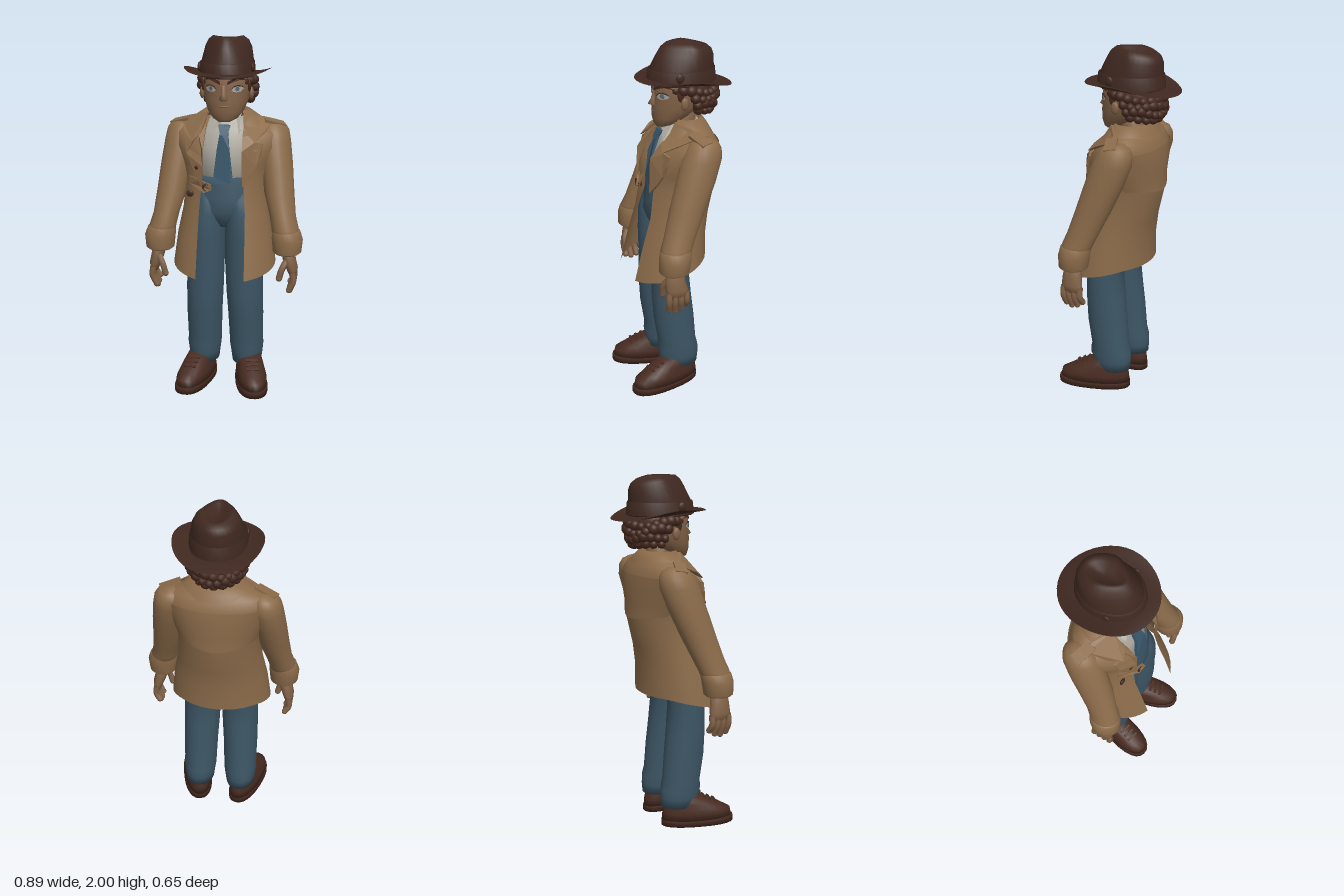
import * as THREE from 'three';

const M = {};
for (const [name, color] of Object.entries({
  coat: 0x8b6b4a, skin: 0x806146, hat: 0x3f2820, shoe: 0x472b21, hair: 0x45291f,
  jeans: 0x3c5564, shirt: 0xaeaaa0, tie: 0x39576c, eyeWhite: 0xa3a1a0, iris: 0x5b666e,
})) {
  M[name] = new THREE.MeshStandardMaterial({ color, side: THREE.DoubleSide });
  M[name].name = name;
}

function add(parent, name, geo, mat) {
  const m = new THREE.Mesh(geo, mat);
  m.name = name;
  parent.add(m);
  return m;
}

// Move every vertex by a rule that edits the vector in place
function bend(geo, rule) {
  const p = geo.attributes.position, v = new THREE.Vector3();
  for (let i = 0; i < p.count; i++) {
    rule(v.fromBufferAttribute(p, i));
    p.setXYZ(i, v.x, v.y, v.z);
  }
  geo.computeVertexNormals();
  return geo;
}

// Skin over horizontal rings [x, y, z, rx, rz, gap], bottom to top; gap opens the front
function loft(rings, { n = 24, pow = 1, arc = null, cap = true, rule = null } = {}) {
  const pos = [], idx = [], open = arc || rings[0][5] !== undefined;
  const row = open ? n + 1 : n, sp = (t) => Math.sign(t) * Math.abs(t) ** pow;
  for (const [x, y, z, rx, rz, gap = 0] of rings) {
    const a0 = arc ? arc[0] : Math.asin(gap / rx), a1 = arc ? arc[1] : Math.PI * 2 - a0;
    for (let j = 0; j < row; j++) {
      const a = a0 + (a1 - a0) * j / n;
      pos.push(x + rx * sp(Math.sin(a)), y, z + rz * sp(Math.cos(a)));
    }
  }
  for (let i = 0; i < rings.length - 1; i++) for (let j = 0; j < n; j++) {
    const k = (j + 1) % row, a = i * row + j, b = i * row + k;
    idx.push(a, b, a + row, b, b + row, a + row);
  }
  if (cap && !open) for (const i of [0, rings.length - 1]) {
    const c = pos.length / 3;
    pos.push(...rings[i].slice(0, 3));
    for (let j = 0; j < n; j++) {
      const a = i * row + j, b = i * row + (j + 1) % row;
      if (i) idx.push(a, b, c); else idx.push(b, a, c);
    }
  }
  const g = new THREE.BufferGeometry();
  g.setAttribute('position', new THREE.Float32BufferAttribute(pos, 3));
  g.setIndex(idx);
  return bend(g, rule || (() => {}));
}

// Front depth of a ring stack at x, y
function frontZ(rings, x, y) {
  let i = 0;
  while (i < rings.length - 2 && rings[i + 1][1] < y) i++;
  const t = THREE.MathUtils.clamp((y - rings[i][1]) / (rings[i + 1][1] - rings[i][1]), 0, 1);
  const [, , z, rx, rz] = rings[i].map((v, k) => v + (rings[i + 1][k] - v) * t);
  return z + rz * Math.sqrt(Math.max(0, 1 - (x / rx) ** 2));
}

// Thin panel laid over the front of a ring stack
function panel(points, rings, lift, s = 1, depth = 0.008) {
  const shape = new THREE.Shape(points.map(([x, y]) => new THREE.Vector2(x * s, y)));
  const g = new THREE.ExtrudeGeometry(shape, { depth, bevelEnabled: false });
  return bend(g, (v) => { v.z += frontZ(rings, v.x, v.y) + lift; });
}

const ball = (r, sx, sy, sz, x, y, z) =>
  new THREE.SphereGeometry(r, 14, 10).scale(sx, sy, sz).translate(x, y, z);

const COAT = [
  [0, 0.74, 0.069, 0.29, 0.239, 0.135], [0, 0.9, 0.045, 0.27, 0.215, 0.132],
  [0, 1.05, 0.012, 0.242, 0.202, 0.128], [0, 1.22, -0.023, 0.23, 0.209, 0.115],
  [0, 1.31, -0.025, 0.255, 0.203, 0.112], [0, 1.4, -0.032, 0.29, 0.202, 0.112],
  [0, 1.47, -0.058, 0.305, 0.166, 0.108], [0, 1.52, -0.075, 0.265, 0.12, 0.1],
  [0, 1.56, -0.075, 0.15, 0.09, 0.09],
];
const SHIRT = [
  [0, 1.2, -0.03, 0.18, 0.17], [0, 1.4, -0.04, 0.19, 0.16],
  [0, 1.5, -0.05, 0.165, 0.125], [0, 1.57, -0.055, 0.08, 0.085],
];
const HEAD = [
  [0, 1.545, 0.07, 0.035, 0.03], [0, 1.56, 0.052, 0.067, 0.058], [0, 1.6, 0.02, 0.1, 0.1],
  [0, 1.66, -0.02, 0.124, 0.14], [0, 1.73, -0.035, 0.131, 0.148], [0, 1.84, -0.045, 0.13, 0.155],
];

function buildHead(g) {
  add(g, 'head', loft(HEAD), M.skin);
  add(g, 'neck', loft([[0, 1.5, -0.07, 0.075, 0.075], [0, 1.63, -0.04, 0.068, 0.075]]), M.skin);
  add(g, 'nose', loft([[0, 1.66, 0.105, 0.015, 0.012], [0, 1.673, 0.113, 0.025, 0.032],
    [0, 1.7, 0.108, 0.015, 0.022], [0, 1.75, 0.1, 0.014, 0.012]], { n: 12 }), M.skin);
  add(g, 'upperLip', ball(0.036, 1, 0.2, 0.3, 0, 1.634, 0.111), M.skin);
  add(g, 'lowerLip', ball(0.03, 1, 0.27, 0.3, 0, 1.619, 0.109), M.skin);
  for (const s of [-1, 1]) {
    add(g, 'eye', panel([[0.042, 1.722], [0.055, 1.738], [0.075, 1.744], [0.095, 1.738], [0.106, 1.727],
      [0.092, 1.714], [0.07, 1.71], [0.052, 1.714]], HEAD, 0, s, 0.004), M.eyeWhite);
    add(g, 'iris', panel([[0.062, 1.727], [0.067, 1.739], [0.079, 1.739], [0.084, 1.727], [0.079, 1.716],
      [0.067, 1.716]], HEAD, 0.001, s, 0.005), M.iris);
    add(g, 'lashLine', panel([[0.038, 1.722], [0.055, 1.738], [0.075, 1.744], [0.095, 1.738], [0.108, 1.727],
      [0.096, 1.743], [0.075, 1.749], [0.053, 1.743]], HEAD, 0.001, s, 0.006), M.hair);
    add(g, 'eyebrow', panel([[0.02, 1.752], [0.06, 1.768], [0.085, 1.776], [0.115, 1.768], [0.09, 1.793],
      [0.06, 1.787], [0.022, 1.77]], HEAD, 0.001, s), M.hair);
    add(g, 'ear', ball(0.035, 0.4, 1, 0.65, 0.137 * s, 1.69, -0.015), M.skin);
    add(g, 'sideburn', ball(0.03, 0.35, 1.3, 0.6, 0.128 * s, 1.74, 0.005), M.hair);
  }
  // Curly hair: a cap plus rows of curls, lower rows only at the back
  add(g, 'hairCap', ball(1, 0.136, 0.12, 0.15, 0, 1.745, -0.08), M.hair);
  [[1.752, 0.75, 0.142, 17], [1.718, 1.5, 0.148, 13], [1.68, 1.6, 0.142, 12], [1.647, 1.7, 0.122, 9]]
    .forEach(([y, a0, r, count], k) => {
      for (let i = 0; i < count; i++) {
        const a = a0 + (2 * Math.PI - 2 * a0) * i / (count - 1), w = Math.sin(i * 7.3 + k * 3.1);
        const curl = new THREE.IcosahedronGeometry(0.029 + 0.005 * w, 1);
        curl.translate(r * Math.sin(a), y + 0.01 * w + 0.02 * Math.cos(a) ** 3, -0.083 + r * Math.cos(a));
        add(g, 'curl', curl, M.hair);
      }
    });
}

function buildHat(g) {
  // Brim with rolled-up sides, two skins joined at the rim
  for (const lift of [0, 0.012]) {
    const brim = new THREE.RingGeometry(0.5, 1, 40, 5).rotateX(-Math.PI / 2);
    add(g, 'hatBrim', bend(brim, (v) => {
      const rim = Math.sqrt(Math.max(0, 1 - v.x ** 2 - v.z ** 2));
      v.set(v.x * 0.243, 1.787 + 0.022 * v.z + 0.038 * v.x ** 4 + lift * rim, v.z * 0.268 - 0.057);
    }), M.hat);
  }
  // Crown pinched at the front, with a dented top
  add(g, 'hatCrown', loft([[0, 1.785, -0.045, 0.15, 0.185], [0, 1.87, -0.05, 0.144, 0.177],
    [0, 1.94, -0.066, 0.132, 0.16], [0, 1.977, -0.072, 0.114, 0.144], [0, 1.998, -0.074, 0.086, 0.118],
    [0, 1.99, -0.074, 0.06, 0.092], [0, 1.965, -0.072, 0.03, 0.06]], { n: 32, rule: (v) => {
    const front = Math.max(0, (v.z + 0.09) / 0.16), up = Math.max(0, (v.y - 1.86) / 0.12);
    v.x *= 1 - 0.42 * Math.min(1, front) * Math.min(1, up);
    if (v.z < -0.07) v.y += 0.17 * (v.z + 0.07) * up;
  } }), M.hat);
  add(g, 'hatBand', loft([[0, 1.79, -0.045, 0.156, 0.195], [0, 1.86, -0.047, 0.15, 0.187],
    [0, 1.863, -0.049, 0.138, 0.17]], { n: 32, cap: false }), M.hat);
  for (const s of [-1, 1])
    add(g, 'bandKnot', ball(0.026, 0.4, 1, 0.9, 0.147 * s, 1.835, 0.015), M.hat);
}

function buildCoat(g) {
  // The hem dips towards the front
  add(g, 'coatBody', loft(COAT, { n: 36, rule: (v) => {
    v.y += Math.max(0, (1.05 - v.y) / 0.31) * (0.018 - 0.24 * Math.max(-0.1, v.z));
  } }), M.coat);
  const yoke = COAT.slice(3, 7).map((r) => [0, r[1], r[2], r[3] + 0.006, r[4] + 0.008]);
  add(g, 'backYoke', loft(yoke, { arc: [1.8, 2 * Math.PI - 1.8], rule: (v) => {
    if (v.y < 1.23) v.y += 0.15 * Math.abs(v.x);
  } }), M.coat);
  add(g, 'coatCollar', loft([[0, 1.515, -0.055, 0.225, 0.15, 0.12], [0, 1.55, -0.06, 0.19, 0.125, 0.11],
    [0, 1.595, -0.06, 0.125, 0.095, 0.09], [0, 1.56, -0.06, 0.1, 0.08, 0.08]]), M.coat);
  for (const s of [-1, 1]) {
    add(g, 'collarWing', panel([[0.1, 1.585], [0.2, 1.555], [0.255, 1.53], [0.23, 1.49], [0.175, 1.445],
      [0.13, 1.48], [0.11, 1.53]], COAT, 0.022, s, 0.014), M.coat);
    add(g, 'lapel', panel([[0.105, 1.52], [0.14, 1.475], [0.17, 1.44], [0.215, 1.43], [0.205, 1.37], [0.185, 1.31],
      [0.15, 1.25], [0.112, 1.2], [0.108, 1.31], [0.108, 1.4], [0.104, 1.47]], COAT, 0.006, s, 0.014), M.coat);
    const strap = add(g, 'epaulette', new THREE.BoxGeometry(0.12, 0.016, 0.065), M.coat);
    strap.position.set(0.262 * s, 1.525, -0.055);
    strap.rotation.set(0.15, 0.3 * s, -0.32 * s);
  }
  // Fastenings on the model's right side
  for (const [x, y, r] of [[-0.185, 1.145, 0.022], [-0.14, 1.3, 0.014]])
    add(g, 'button', ball(r, 1, 0.9, 0.45, x, y, frontZ(COAT, x, y) + 0.015), M.hat);
  add(g, 'beltTab', panel([[-0.19, 1.24], [-0.12, 1.23], [-0.06, 1.215], [-0.055, 1.185], [-0.1, 1.165], [-0.19, 1.2]],
    COAT, 0.005, 1, 0.012), M.coat);
  add(g, 'beltBuckle', new THREE.TorusGeometry(0.019, 0.005, 6, 12).translate(-0.085, 1.195, 0.187), M.hat);
}

function buildArm(g, s) {
  const rings = (list) => list.map(([x, ...r]) => [x * s, ...r]);
  add(g, 'sleeve', loft(rings([[0.355, 0.9, 0.125, 0.075, 0.08], [0.345, 0.96, 0.11, 0.076, 0.088],
    [0.33, 1.02, 0.085, 0.073, 0.09], [0.303, 1.15, 0.035, 0.085, 0.1], [0.283, 1.3, -0.022, 0.09, 0.11],
    [0.265, 1.42, -0.062, 0.092, 0.112], [0.258, 1.475, -0.076, 0.088, 0.098], [0.255, 1.51, -0.08, 0.068, 0.077],
    [0.245, 1.53, -0.08, 0.035, 0.04]])), M.coat);
  add(g, 'cuff', loft(rings([[0.36, 0.86, 0.13, 0.055, 0.06], [0.36, 0.82, 0.13, 0.068, 0.072],
    [0.36, 0.83, 0.13, 0.08, 0.083], [0.36, 0.9, 0.125, 0.087, 0.089], [0.352, 0.945, 0.117, 0.079, 0.088],
    [0.352, 0.95, 0.115, 0.07, 0.08]]), { cap: false }), M.coat);
  add(g, 'palm', loft(rings([[0.395, 0.69, 0.12, 0.02, 0.055], [0.39, 0.73, 0.125, 0.033, 0.063],
    [0.375, 0.78, 0.13, 0.037, 0.057], [0.36, 0.86, 0.13, 0.038, 0.044]]), { n: 14 }), M.skin);
  const digit = (name, pts, r) => {
    const path = pts.map(([x, y, z]) => new THREE.Vector3(x * s, y, z));
    add(g, name, new THREE.TubeGeometry(new THREE.CatmullRomCurve3(path), 8, r, 8), M.skin);
    const tip = path[path.length - 1];
    add(g, name + 'Tip', ball(r, 1, 1, 1, tip.x, tip.y, tip.z), M.skin);
  };
  for (let i = 0; i < 4; i++) {
    const z = 0.072 + i * 0.034, drop = [0.03, 0.008, 0, 0.012][i];
    digit('finger', [[0.395, 0.72, z], [0.4, 0.665, z], [0.378, 0.6 + drop, z - 0.006]], 0.0175);
  }
  digit('thumb', [[0.365, 0.79, 0.16], [0.338, 0.74, 0.185], [0.322, 0.685, 0.185]], 0.018);
}

function buildLeg(g, s) {
  const rings = [[0.125, 0.115, 0.015, 0.085, 0.112], [0.125, 0.17, 0.015, 0.092, 0.117],
    [0.124, 0.22, 0.02, 0.098, 0.12], [0.122, 0.27, 0.025, 0.098, 0.112], [0.12, 0.42, 0.043, 0.102, 0.118],
    [0.115, 0.56, 0.055, 0.106, 0.114], [0.11, 0.72, 0.062, 0.108, 0.106], [0.104, 0.9, 0.045, 0.106, 0.13],
    [0.098, 1.03, 0.028, 0.1, 0.145], [0.09, 1.11, 0.008, 0.09, 0.145], [0.086, 1.19, -0.012, 0.075, 0.13]];
  add(g, 'trouserLeg', loft(rings.map(([x, ...r]) => [x * s, ...r])), M.jeans);
  // Shoe, toe turned outward
  const shoe = new THREE.Group();
  shoe.name = 'shoe';
  shoe.position.set(0.16 * s, 0, 0.113);
  shoe.rotation.y = 0.24 * s;
  const toe = (v) => { v.x *= 1 + 0.3 * v.z; };
  add(shoe, 'sole', loft([[0, 0, 0, 0.089, 0.214], [0, 0.032, 0, 0.089, 0.214], [0, 0.037, 0, 0.083, 0.207]], { pow: 0.85, rule: toe }), M.shoe);
  add(shoe, 'shoeUpper', loft([[0, 0.03, -0.003, 0.086, 0.21], [0, 0.075, -0.006, 0.085, 0.203],
    [0, 0.1, -0.025, 0.08, 0.177], [0, 0.13, -0.045, 0.073, 0.147], [0, 0.175, -0.09, 0.062, 0.095]], { pow: 0.9, rule: toe }), M.shoe);
  for (let i = 0; i < 3; i++) {
    const lace = add(shoe, 'lace', new THREE.BoxGeometry(0.07, 0.012, 0.014), M.shoe);
    lace.position.set(0, 0.128 + i * 0.014, 0.1 - i * 0.032);
    lace.rotation.x = 0.5;
  }
  g.add(shoe);
}

export function createModel() {
  const g = new THREE.Group();
  g.name = 'figure';
  buildHead(g);
  buildHat(g);
  buildCoat(g);
  add(g, 'shirt', loft(SHIRT), M.shirt);
  add(g, 'tieBlade', panel([[-0.022, 1.495], [-0.034, 1.4], [-0.052, 1.25], [-0.04, 1.21], [0.04, 1.21], [0.052, 1.25],
    [0.034, 1.4], [0.022, 1.495]], SHIRT, 0.008, 1, 0.012), M.tie);
  add(g, 'tieKnot', panel([[-0.02, 1.475], [-0.034, 1.525], [0.034, 1.525], [0.02, 1.475]], SHIRT, 0.012, 1, 0.018), M.tie);
  add(g, 'trouserSeat', loft([[0, 0.95, 0.04, 0.05, 0.08], [0, 1.0, 0.032, 0.12, 0.12], [0, 1.05, 0.026, 0.18, 0.143],
    [0, 1.12, 0.008, 0.192, 0.158], [0, 1.2, -0.014, 0.185, 0.168], [0, 1.24, -0.022, 0.182, 0.172]]), M.jeans);
  for (const s of [-1, 1]) {
    add(g, 'shirtCollar', panel([[0.02, 1.53], [0.06, 1.565], [0.105, 1.555], [0.08, 1.475]], SHIRT, 0.012, s), M.shirt);
    buildArm(g, s);
    buildLeg(g, s);
  }
  return g;
}
